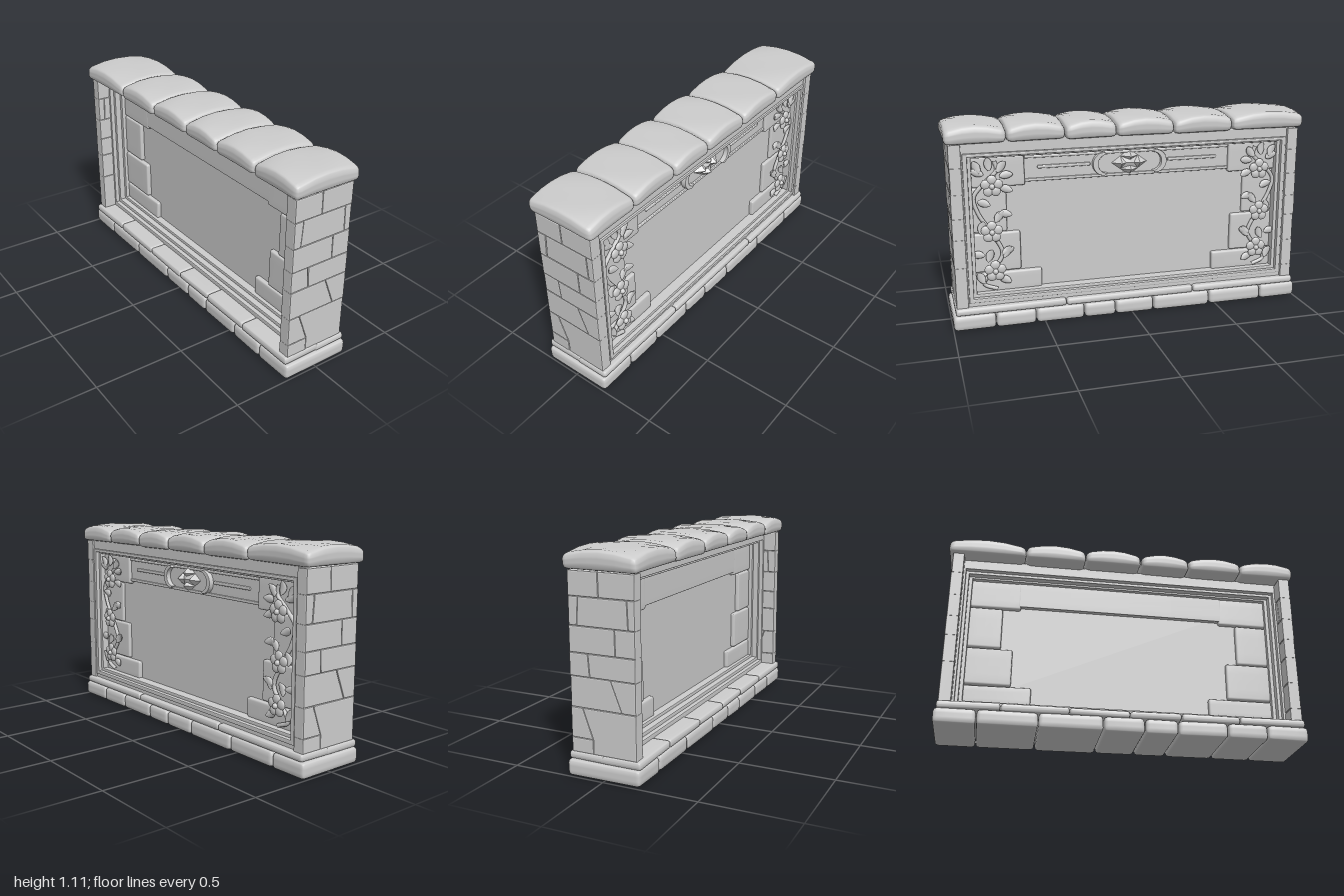
import * as THREE from 'three';
import { mergeVertices } from 'three/addons/utils/BufferGeometryUtils.js';

const stone = new THREE.MeshStandardMaterial({ color: 0xcccccc });
stone.name = 'stone grey';

let seed = 7;
const rand = () => {
  seed = (seed * 16807) % 2147483647;
  return seed / 2147483647 - 0.5;
};

function add(group, name, geo) {
  const mesh = new THREE.Mesh(geo, stone);
  mesh.name = name;
  group.add(mesh);
  return mesh;
}

// Soft-edged stone between two corners; its eight corners wander by up to
// `wobble`, and its top corners sag by `sag`
function block(group, name, x0, x1, y0, y1, z0, z1, radius, wobble = 0, sag = 0) {
  const size = [x1 - x0, y1 - y0, z1 - z0];
  const corners = Array.from({ length: 8 }, () => [rand(), rand(), rand()].map((r) => r * 2 * wobble));
  // Grid lines gather near the edges, where the rounding needs them
  const levels = size.map((s) => {
    const h = s / 2, inner = h - radius;
    const side = [h, h - radius * 0.35, inner, inner / 2];
    return [...side.map((v) => -v), 0, ...side.reverse()];
  });
  let geo = new THREE.BoxGeometry(...size, 8, 8, 8);
  geo.deleteAttribute('uv');
  geo.deleteAttribute('normal');
  const p = geo.attributes.position;
  for (let i = 0; i < p.count; i++) {
    const raw = [p.getX(i), p.getY(i), p.getZ(i)];
    const grid = raw.map((c, k) => levels[k][Math.round((c / size[k] + 0.5) * 8)]);
    const core = grid.map((c, k) => THREE.MathUtils.clamp(c, radius - size[k] / 2, size[k] / 2 - radius));
    const out = grid.map((c, k) => c - core[k]);
    const len = Math.hypot(...out);
    const v = core.map((c, k) => c + (out[k] / len) * radius);
    const t = v.map((c, k) => c / size[k] + 0.5);
    v[1] -= sag * t[1] * (2 * t[0] - 1) ** 2 * (2 * t[2] - 1) ** 2;
    for (let c = 0; c < 8; c++) {
      const w = [0, 1, 2].reduce((a, k) => a * ((c >> k) & 1 ? t[k] : 1 - t[k]), 1);
      for (let k = 0; k < 3; k++) v[k] += w * corners[c][k];
    }
    p.setXYZ(i, ...v);
  }
  geo = mergeVertices(geo, 1e-5);
  geo.computeVertexNormals();
  geo.translate((x0 + x1) / 2, (y0 + y1) / 2, (z0 + z1) / 2);
  return add(group, name, geo);
}

// Row of stones along z, split at the given joints
function course(group, name, joints, x0, x1, y0, y1, radius, wobble, sag) {
  for (let i = 0; i < joints.length - 1; i++) {
    block(group, name, x0, x1, y0, y1, joints[i + 1] + 0.001, joints[i] - 0.001, radius, wobble, sag);
  }
}

// Flat outline extruded with a soft edge that stays inside the outline
function slab(shape, depth, bevel) {
  return new THREE.ExtrudeGeometry(shape, {
    depth: depth - 2 * bevel, bevelEnabled: true, bevelThickness: bevel, bevelSize: bevel,
    bevelOffset: -bevel - 0.0005, bevelSegments: 2, curveSegments: 16,
  }).translate(0, 0, bevel);
}

const rect = (Type, z, y0, y1) => new Type([[-z, y0], [z, y0], [z, y1], [-z, y1]].map((p) => new THREE.Vector2(...p)));

// Rectangular moulding around the panel: [half width, bottom, top] outside and inside
function ring(group, name, outer, inner, x0, x1) {
  const shape = rect(THREE.Shape, ...outer);
  shape.holes.push(rect(THREE.Path, ...inner));
  const geo = slab(shape, x1 - x0, 0.005).rotateY(Math.PI / 2).translate(x0, 0, 0);
  add(group, name, geo);
}

// End pillar made of fitted stones, outlined in x and y
function pillar(name) {
  const g = new THREE.Group();
  g.name = name;
  const L = -0.18, R = 0.176;
  const outlines = [
    [[L, 0.122], [-0.06, 0.122], [-0.06, 0.197], [L, 0.197]],
    [[L, 0.197], [-0.06, 0.197], [-0.115, 0.35], [L, 0.35]],
    [[-0.06, 0.122], [R, 0.122], [R, 0.35], [-0.115, 0.35], [-0.06, 0.197]],
  ];
  // Each course: bottom, top, then joints as [x at bottom, x at top]
  const courses = [
    [0.35, 0.505, [0.1, 0.04]],
    [0.505, 0.62, [-0.07, -0.078]],
    [0.62, 0.75, [0.07, 0.068]],
    [0.75, 0.89, [-0.135, -0.125], [0.14, 0.135]],
    [0.89, 1.012, [-0.015, -0.017]],
  ];
  for (const [y0, y1, ...joints] of courses) {
    const edges = [[L, L], ...joints, [R, R]];
    for (let i = 0; i < edges.length - 1; i++) {
      const [a, b] = [edges[i], edges[i + 1]];
      outlines.push([[a[0], y0], [b[0], y0], [b[1], y1], [a[1], y1]]);
    }
  }
  for (const o of outlines) {
    const shape = new THREE.Shape(o.map((p) => new THREE.Vector2(...p)));
    add(g, 'pillarStone', slab(shape, 0.065 + rand() * 0.004, 0.006).translate(0, 0, 0.913));
  }
  return g;
}

// Pointed leaf growing from the origin along +y, thin in x
function leafGeometry() {
  const geo = new THREE.SphereGeometry(1, 12, 10);
  const p = geo.attributes.position;
  for (let i = 0; i < p.count; i++) {
    const t = p.getY(i), taper = Math.sqrt(Math.max(0, 1 - t * t)) * 0.5 + 0.5;
    p.setXYZ(i, p.getX(i) * 0.012 * taper + 0.012 * t * t, (t + 1) * 0.037, p.getZ(i) * 0.022 * taper);
  }
  geo.computeVertexNormals();
  return geo;
}

// Climbing vine with flowers; side is +1 or -1 along z
function vine(side) {
  const g = new THREE.Group();
  g.name = side > 0 ? 'frontVine' : 'backVine';
  const path = [[0.75, 0.2], [0.82, 0.235], [0.77, 0.31], [0.715, 0.4], [0.77, 0.52],
    [0.835, 0.63], [0.855, 0.72], [0.79, 0.8], [0.73, 0.86], [0.74, 0.91]];
  const curve = new THREE.CatmullRomCurve3(path.map(([z, y]) => new THREE.Vector3(0.125, y, z * side)));
  add(g, 'stem', new THREE.TubeGeometry(curve, 70, 0.011, 8));

  // Leaves: base z, base y, direction z, direction y
  const leaf = leafGeometry();
  const leaves = [[0.82, 0.85, 0.5, 1], [0.77, 0.86, 0.1, 1], [0.73, 0.85, -0.6, 0.8], [0.72, 0.83, -1, 0.1],
    [0.8, 0.84, 1, 0.4], [0.72, 0.77, -0.9, -0.3], [0.84, 0.7, -0.8, -0.3], [0.75, 0.58, -0.6, 0.8],
    [0.73, 0.63, -1, -0.2], [0.81, 0.59, 0.3, -1], [0.81, 0.4, 0.9, 0.1], [0.77, 0.43, 0.4, -1],
    [0.72, 0.4, -1, 0.5], [0.71, 0.38, -0.6, 1], [0.82, 0.24, 0.5, 1], [0.74, 0.27, -1, -0.5]];
  for (const [z, y, dz, dy] of leaves) {
    const m = add(g, 'leaf', leaf);
    m.position.set(0.13, y, z * side);
    m.rotation.x = Math.atan2(dz * side, dy);
  }

  // Five-petalled flowers
  const petal = new THREE.SphereGeometry(1, 14, 10).scale(0.012, 0.026, 0.027).translate(0, 0.034, 0);
  const heart = new THREE.SphereGeometry(0.015, 12, 8);
  for (const [z, y] of [[0.76, 0.78], [0.77, 0.53], [0.76, 0.31]]) {
    const flower = new THREE.Group();
    flower.name = 'flower';
    flower.position.set(0.148, y, z * side);
    for (let i = 0; i < 5; i++) add(flower, 'petal', petal).rotation.x = (i / 5) * Math.PI * 2;
    add(flower, 'flowerHeart', heart).position.x = 0.01;
    g.add(flower);
  }
  return g;
}

// Lintel with raised bars, curved brackets and a faceted diamond
function lintel() {
  const g = new THREE.Group();
  g.name = 'lintel';
  block(g, 'lintelBeam', -0.02, 0.103, 0.785, 0.94, -0.6, 0.6, 0.006);
  for (const y of [0.792, 0.918]) block(g, 'lintelTrim', 0.09, 0.113, y - 0.008, y + 0.008, -0.58, 0.58, 0.005);
  for (const s of [1, -1]) {
    block(g, 'lintelBar', 0.09, 0.113, 0.851, 0.869, s * 0.365 - 0.145, s * 0.365 + 0.145, 0.006);
    const arc = new THREE.Shape();
    arc.absarc(0, 0, 0.065, -Math.PI / 2, Math.PI / 2, false);
    arc.absarc(-0.018, 0, 0.052, Math.PI / 2, -Math.PI / 2, true);
    const geo = slab(arc, 0.035, 0.004).rotateY(s > 0 ? -Math.PI / 2 : Math.PI / 2);
    geo.translate(s > 0 ? 0.13 : 0.095, 0.858, s * 0.145);
    add(g, 'bracket', geo);
  }
  const pyramid = (name, w, h, x, y, z) => {
    const geo = new THREE.ConeGeometry(w, h, 4).toNonIndexed();
    geo.computeVertexNormals();
    geo.rotateZ(-Math.PI / 2).scale(1, 0.72, 1).translate(x + h / 2, y, z);
    add(g, name, geo);
  };
  pyramid('diamond', 0.104, 0.03, 0.1, 0.857, 0);
  for (const [z, y] of [[0.05, 0], [-0.05, 0], [0, 0.036], [0, -0.036]]) {
    pyramid('diamondFacet', 0.05, 0.045, 0.103, 0.857 + y, z);
  }
  return g;
}

export function createModel() {
  const model = new THREE.Group();
  model.name = 'stoneWall';

  // Base, plinth and cap courses
  course(model, 'baseStone', [1, 0.77, 0.55, 0.28, 0.1, -0.12, -0.46, -0.78, -1], -0.199, 0.199, 0.001, 0.086, 0.022, 0.002, 0);
  course(model, 'plinthStone', [0.985, 0.38, -0.36, -0.985], 0, 0.196, 0.085, 0.126, 0.015, 0.002, 0);
  course(model, 'plinthStone', [0.985, 0.62, 0.3, 0.02, -0.3, -0.66, -0.985], -0.197, 0.02, 0.085, 0.126, 0.015, 0.003, 0);
  course(model, 'capStone', [1, 0.68, 0.37, 0.09, -0.23, -0.57, -1], -0.199, 0.199, 1.015, 1.112, 0.03, 0.003, 0.035);

  // End pillars
  const front = pillar('frontPillar');
  const back = pillar('backPillar');
  back.rotation.y = Math.PI;
  model.add(front, back);

  // Stepped frame and recessed panel
  ring(model, 'outerFrame', [0.93, 0.115, 1.025], [0.9, 0.15, 0.96], -0.1, 0.164);
  ring(model, 'frameBead', [0.908, 0.145, 0.962], [0.882, 0.17, 0.943], -0.075, 0.173);
  ring(model, 'innerFrame', [0.89, 0.165, 0.95], [0.862, 0.188, 0.932], -0.04, 0.15);
  add(model, 'panel', new THREE.BoxGeometry(0.085, 0.78, 1.76).translate(0.0475, 0.56, 0));

  // Corner stones beside the panel: bottom, top, inner edge, face
  const quoins = [[0.18, 0.29, 0.5, 0.115], [0.295, 0.512, 0.612, 0.11],
    [0.517, 0.762, 0.68, 0.106], [0.767, 0.935, 0.58, 0.12]];
  for (const s of [1, -1]) {
    for (const [y0, y1, z, x] of quoins) {
      block(model, 'cornerStone', -0.02, x, y0, y1, Math.min(s * z, s * 0.87), Math.max(s * z, s * 0.87), 0.012, 0.002);
    }
    model.add(vine(s));
  }
  model.add(lintel());
  return model;
}
